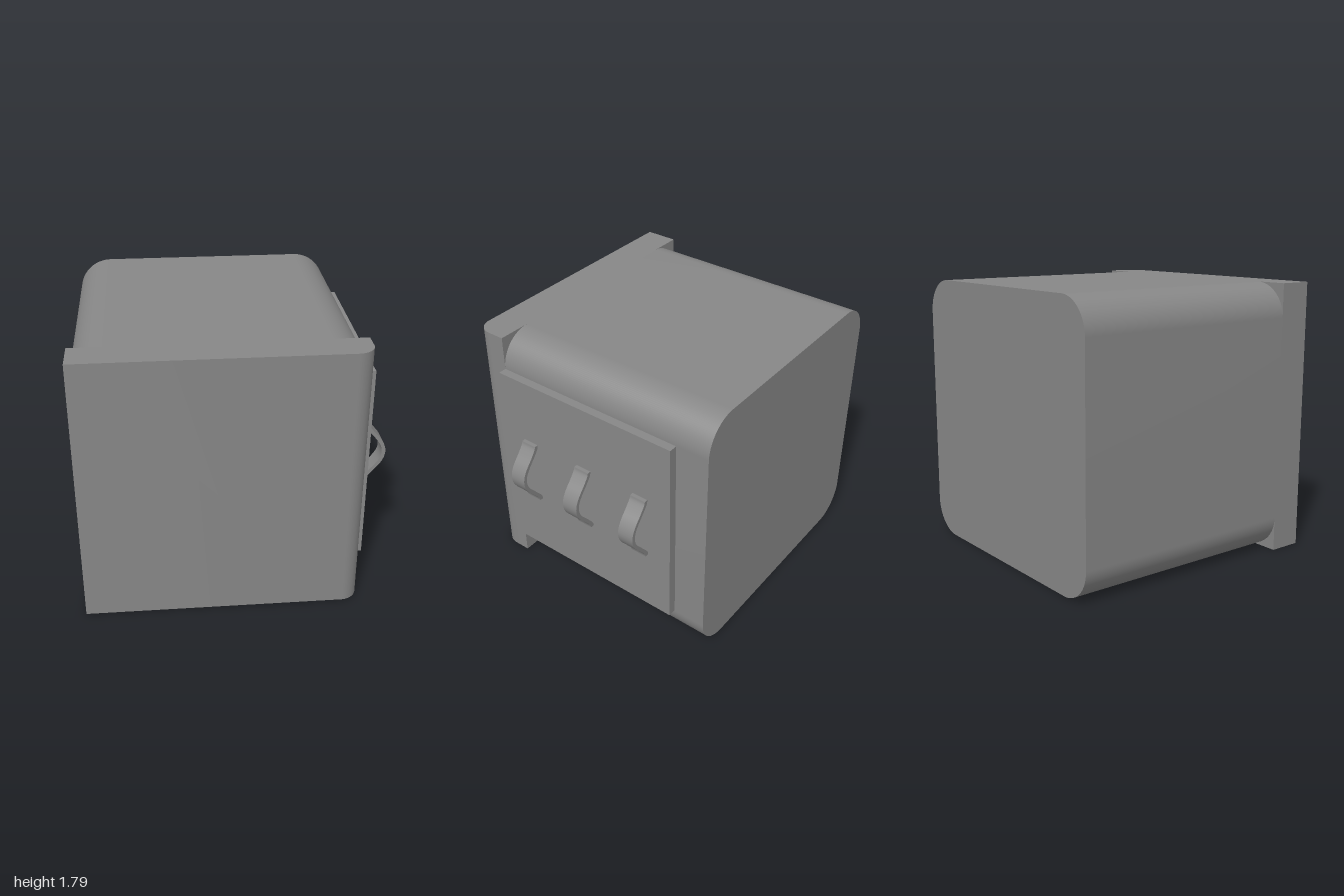
import * as THREE from 'three';
import { toCreasedNormals } from 'three/addons/utils/BufferGeometryUtils.js';

const material = new THREE.MeshStandardMaterial({ color: 0x878787 });

function addMesh(parent, name, geometry) {
  const mesh = new THREE.Mesh(geometry, material);
  mesh.name = name;
  parent.add(mesh);
  return mesh;
}

// Extrude with smooth curved sides and sharp edges
function extrude(shape, depth, curveSegments = 16) {
  const geometry = new THREE.ExtrudeGeometry(shape, { depth, curveSegments, bevelEnabled: false });
  return toCreasedNormals(geometry, 0.6);
}

function roundedRect(x0, y0, x1, y1, r) {
  const s = new THREE.Shape();
  s.moveTo(x0 + r, y0);
  s.lineTo(x1 - r, y0);
  s.absarc(x1 - r, y0 + r, r, -Math.PI / 2, 0);
  s.lineTo(x1, y1 - r);
  s.absarc(x1 - r, y1 - r, r, 0, Math.PI / 2);
  s.lineTo(x0 + r, y1);
  s.absarc(x0 + r, y1 - r, r, Math.PI / 2, Math.PI);
  s.lineTo(x0, y0 + r);
  s.absarc(x0 + r, y0 + r, r, Math.PI, Math.PI * 1.5);
  return s;
}

export function createModel() {
  const model = new THREE.Group();
  const left = -1, right = 0.792, height = 1.792, back = -0.896, seam = 0.672, front = 0.896;
  const mid = height / 2;

  // Main body, rounded along its four long edges
  const body = extrude(roundedRect(left, 0, right, height, 0.224), seam - back);
  body.translate(0, 0, back);
  addMesh(model, 'body', body);

  // Square front panel with one rounded vertical edge, drawn in plan
  const r = 0.112;
  const plan = new THREE.Shape();
  plan.moveTo(left, -front);
  plan.lineTo(right - r, -front);
  plan.absarc(right - r, -front + r, r, -Math.PI / 2, 0);
  plan.lineTo(right, -seam);
  plan.lineTo(left, -seam);
  const panel = extrude(plan, height);
  panel.rotateX(-Math.PI / 2);
  addMesh(model, 'frontPanel', panel);

  // Raised plate on the side
  const plate = addMesh(model, 'sidePlate', new THREE.BoxGeometry(0.056, 1.344, 1.344));
  plate.position.set(right + 0.028, mid, 0);

  // Bowed strap handles, mirrored about their middle height
  const outer = [[0.873, 0.224], [0.881, 0.2], [0.918, 0.15], [0.961, 0.1], [0.99, 0.05]];
  const inner = [[0.847, 0.224], [0.857, 0.191], [0.896, 0.14], [0.938, 0.09], [0.966, 0.045]];
  const edge = (half, tip) => new THREE.SplineCurve([
    ...half, [tip, 0], ...half.map(([x, y]) => [x, -y]).reverse(),
  ].map(([x, y]) => new THREE.Vector2(x, mid + y))).getPoints(40);
  const strap = new THREE.Shape([...edge(outer, 1), ...edge(inner, 0.975).reverse()]);
  const width = 0.112;
  const strapGeometry = extrude(strap, width);
  strapGeometry.translate(0, 0, -width / 2);
  for (const z of [-0.448, 0, 0.448]) {
    addMesh(model, 'strapHandle', strapGeometry).position.z = z;
  }

  return model;
}
